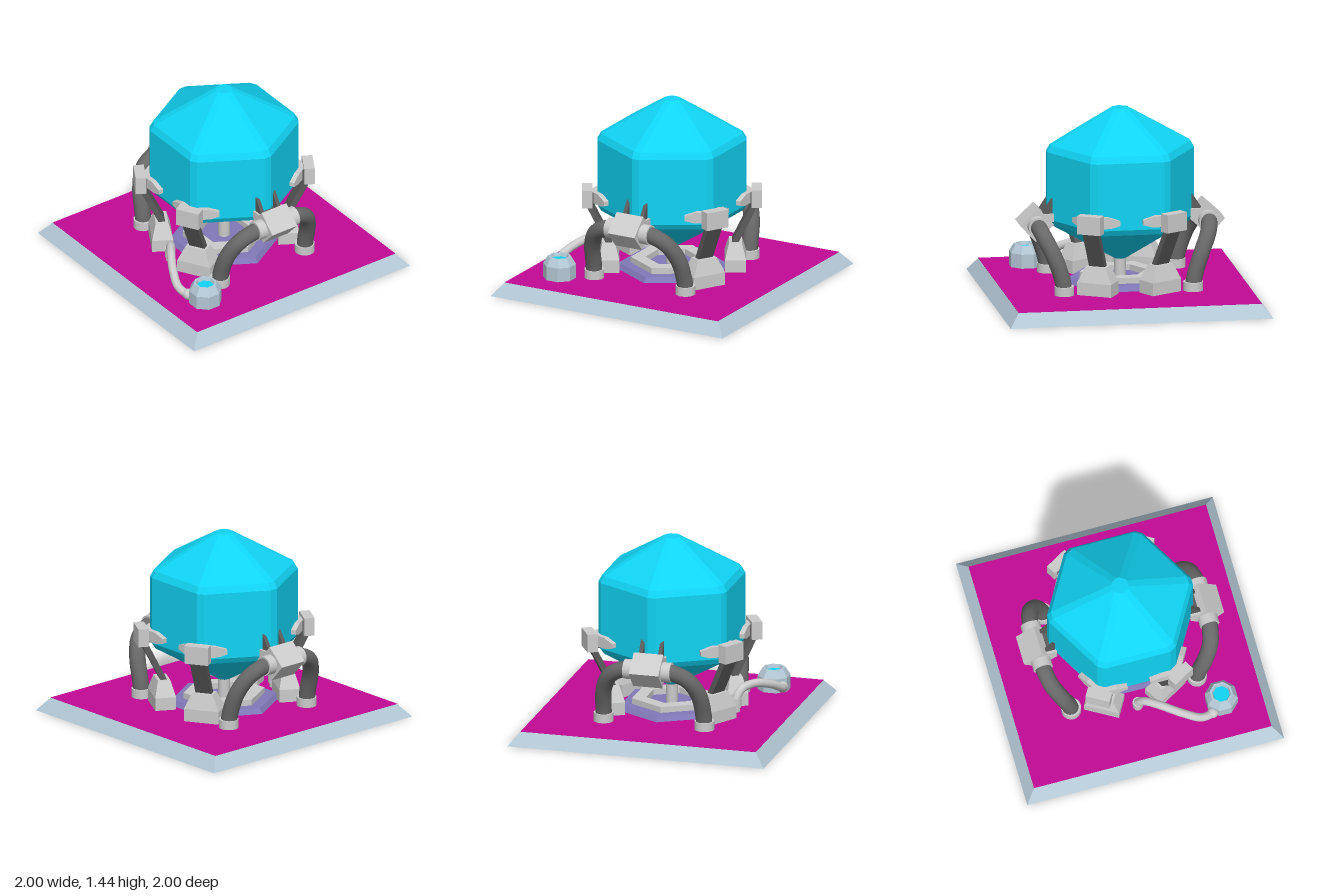
import * as THREE from 'three';

const mat = (color, flatShading = true) =>
  new THREE.MeshStandardMaterial({ color, flatShading, side: THREE.DoubleSide });
const GREY = mat(0xcccccc), GREY_SMOOTH = mat(0xcccccc, false);
const DARK = mat(0x5c5c5c), RUBBER = mat(0x686868, false);
const CYAN = mat(0x10d4f4), MAGENTA = mat(0xc00a94);
const STEEL = mat(0xb4c8d6), VIOLET = mat(0x8078b8);

function add(parent, name, geometry, material, x = 0, y = 0, z = 0) {
  const mesh = new THREE.Mesh(geometry, material);
  mesh.name = name;
  mesh.position.set(x, y, z);
  parent.add(mesh);
  return mesh;
}

// Box whose top is scaled, standing on y = 0
function taperedBox(w, h, d, topX, topZ) {
  const g = new THREE.BoxGeometry(w, h, d).translate(0, h / 2, 0);
  const p = g.attributes.position;
  for (let i = 0; i < p.count; i++) {
    if (p.getY(i) > h / 2) p.setXYZ(i, p.getX(i) * topX, h, p.getZ(i) * topZ);
  }
  g.computeVertexNormals();
  return g;
}

// Hexagonal body with chamfered corners; rings are [corner radius, y]
function chamferedHexBody(rings) {
  const n = 12, pos = [], index = [];
  for (const [r, y] of rings) {
    const half = Math.min(0.03, r * 0.4);
    for (let k = 0; k < 6; k++) {
      const a = (k * Math.PI) / 3;
      for (const t of [-half, half]) {
        pos.push(r * Math.cos(a) - t * Math.sin(a), y, r * Math.sin(a) + t * Math.cos(a));
      }
    }
  }
  for (let j = 0; j < rings.length - 1; j++) {
    for (let i = 0; i < n; i++) {
      const a = j * n + i, b = j * n + ((i + 1) % n);
      index.push(a, a + n, b, b, a + n, b + n);
    }
  }
  const last = (rings.length - 1) * n;
  for (let i = 1; i < n - 1; i++) {
    index.push(0, i, i + 1, last, last + i + 1, last + i);
  }
  const g = new THREE.BufferGeometry();
  g.setAttribute('position', new THREE.Float32BufferAttribute(pos, 3));
  g.setIndex(index);
  const flat = g.toNonIndexed();
  flat.computeVertexNormals();
  return flat;
}

// Flat plate from outline points, centred on its thickness
function plate(points, depth) {
  const shape = new THREE.Shape(points.map(([x, y]) => new THREE.Vector2(x, y)));
  return new THREE.ExtrudeGeometry(shape, { depth, bevelEnabled: false }).translate(0, 0, -depth / 2);
}

function tube(points, radius) {
  const curve = new THREE.CatmullRomCurve3(points.map((p) => new THREE.Vector3(...p)));
  return new THREE.TubeGeometry(curve, 40, radius, 16);
}

const hexCylinder = (top, bottom, h) =>
  new THREE.CylinderGeometry(top, bottom, h, 6).rotateY(Math.PI / 6);

// Straight leg: local +x points outward
function createLeg(angle) {
  const leg = new THREE.Group();
  leg.name = 'leg';
  add(leg, 'footBlock', new THREE.BoxGeometry(0.16, 0.1, 0.272), GREY, 0.476, 0.15, 0);
  add(leg, 'footTaper', taperedBox(0.16, 0.12, 0.272, 0.6, 0.6), GREY, 0.476, 0.2, 0);
  const strut = add(leg, 'strut', new THREE.BoxGeometry(0.045, 0.38, 0.125), DARK, 0.545, 0.46, 0);
  strut.rotation.z = -Math.atan2(0.16, 0.32);
  add(leg, 'clamp', new THREE.BoxGeometry(0.08, 0.14, 0.186), GREY, 0.636, 0.67, 0);
  add(leg, 'clampLink', new THREE.BoxGeometry(0.1, 0.09, 0.12), DARK, 0.56, 0.665, 0);
  const outline = [[-0.03, 0.63], [0.13, 0.63], [0.2, 0.65], [0.2, 0.685], [0.11, 0.715], [-0.03, 0.715]];
  for (const s of [-1, 1]) {
    const arm = add(leg, 'clampArm', plate(outline, 0.06), GREY, 0.585, 0, s * 0.005);
    arm.rotation.y = (-s * 2 * Math.PI) / 3;
  }
  leg.rotation.y = angle;
  return leg;
}

// Side support: tilted clamp with a pipe running down on both sides
function createPipeSupport(angle) {
  const g = new THREE.Group();
  g.name = 'pipeSupport';
  const block = add(g, 'pipeClamp', new THREE.BoxGeometry(0.19, 0.177, 0.23), GREY, 0.65, 0.58, 0);
  block.rotation.z = -0.74;
  add(g, 'clampLink', new THREE.BoxGeometry(0.16, 0.07, 0.11), DARK, 0.57, 0.62, 0);
  for (const s of [-1, 1]) {
    add(g, 'clampFin', plate([[0.61, 0.66], [0.53, 0.78], [0.53, 0.6]], 0.03), DARK, 0, 0, s * 0.075);
    add(g, 'clampBar', new THREE.BoxGeometry(0.13, 0.06, 0.035), GREY, 0.585, 0.63, s * 0.09);
    const path = [[0.65, 0.58, 0.1], [0.648, 0.575, 0.18], [0.62, 0.515, 0.3],
      [0.56, 0.385, 0.37], [0.505, 0.22, 0.39], [0.488, 0.11, 0.393]];
    add(g, 'pipe', tube(path.map(([x, y, z]) => [x, y, s * z]), 0.062), RUBBER);
    const collar = new THREE.CylinderGeometry(0.075, 0.075, 0.07, 20);
    add(g, 'groundCollar', collar, GREY, 0.49, 0.135, s * 0.393).material = GREY_SMOOTH;
    const top = add(g, 'clampCollar', collar, GREY_SMOOTH, 0.649, 0.577, s * 0.148);
    top.rotation.x = Math.PI / 2;
  }
  g.rotation.y = angle;
  return g;
}

export function createModel() {
  const model = new THREE.Group();
  model.name = 'storageTank';

  // Ground slab
  add(model, 'baseSlab', taperedBox(2, 0.1, 2, 0.925, 0.918), STEEL);
  add(model, 'groundSurface', new THREE.BoxGeometry(1.85, 0.004, 1.836), MAGENTA, 0, 0.1, 0);

  // Tank
  add(model, 'tank', chamferedHexBody([
    [0.04, 0.28], [0.53, 0.56], [0.56, 0.605], [0.56, 1.12], [0.53, 1.17], [0.06, 1.44],
  ]), CYAN);

  // Dock under the tank
  add(model, 'dockPlate', hexCylinder(0.4, 0.43, 0.04), VIOLET, 0, 0.12, 0);
  const hexPoints = (r) => Array.from({ length: 6 }, (_, i) =>
    new THREE.Vector2(r * Math.cos((i * Math.PI) / 3), r * Math.sin((i * Math.PI) / 3)));
  const ringShape = new THREE.Shape(hexPoints(0.31));
  ringShape.holes.push(new THREE.Path(hexPoints(0.2)));
  add(model, 'dockRing', new THREE.ExtrudeGeometry(ringShape, { depth: 0.045, bevelEnabled: false })
    .rotateX(-Math.PI / 2), GREY, 0, 0.14, 0);
  add(model, 'outletStem', new THREE.CylinderGeometry(0.045, 0.045, 0.2, 16), GREY_SMOOTH, 0, 0.23, 0);

  // Legs on four corners, pipes on the other two
  for (const k of [1, 2, 4, 5]) model.add(createLeg((k * Math.PI) / 3));
  for (const k of [0, 3]) model.add(createPipeSupport((k * Math.PI) / 3));

  // Filling port with a recessed window
  const profile = [[0.125, 0.1], [0.125, 0.21], [0.088, 0.27], [0.072, 0.27], [0.06, 0.235]];
  add(model, 'fillPort', new THREE.LatheGeometry(
    profile.map(([r, y]) => new THREE.Vector2(r, y)), 8, Math.PI / 8), STEEL, 0.617, 0, 0.62);
  add(model, 'portWindow', new THREE.CylinderGeometry(0.066, 0.066, 0.02, 8)
    .rotateY(Math.PI / 8), CYAN, 0.617, 0.235, 0.62);

  // Hose from the dock to the port
  add(model, 'hose', tube([[0, 0.1, 0.5], [0, 0.19, 0.5], [0.05, 0.265, 0.53], [0.15, 0.285, 0.6],
    [0.3, 0.24, 0.69], [0.43, 0.175, 0.735], [0.52, 0.15, 0.715], [0.58, 0.15, 0.66]], 0.032), GREY_SMOOTH);
  add(model, 'hoseCollar', new THREE.CylinderGeometry(0.04, 0.04, 0.07, 16), GREY_SMOOTH, 0, 0.17, 0.5);
  add(model, 'hoseJoint', new THREE.SphereGeometry(0.043, 16, 12), GREY_SMOOTH, 0.525, 0.15, 0.712);

  return model;
}
